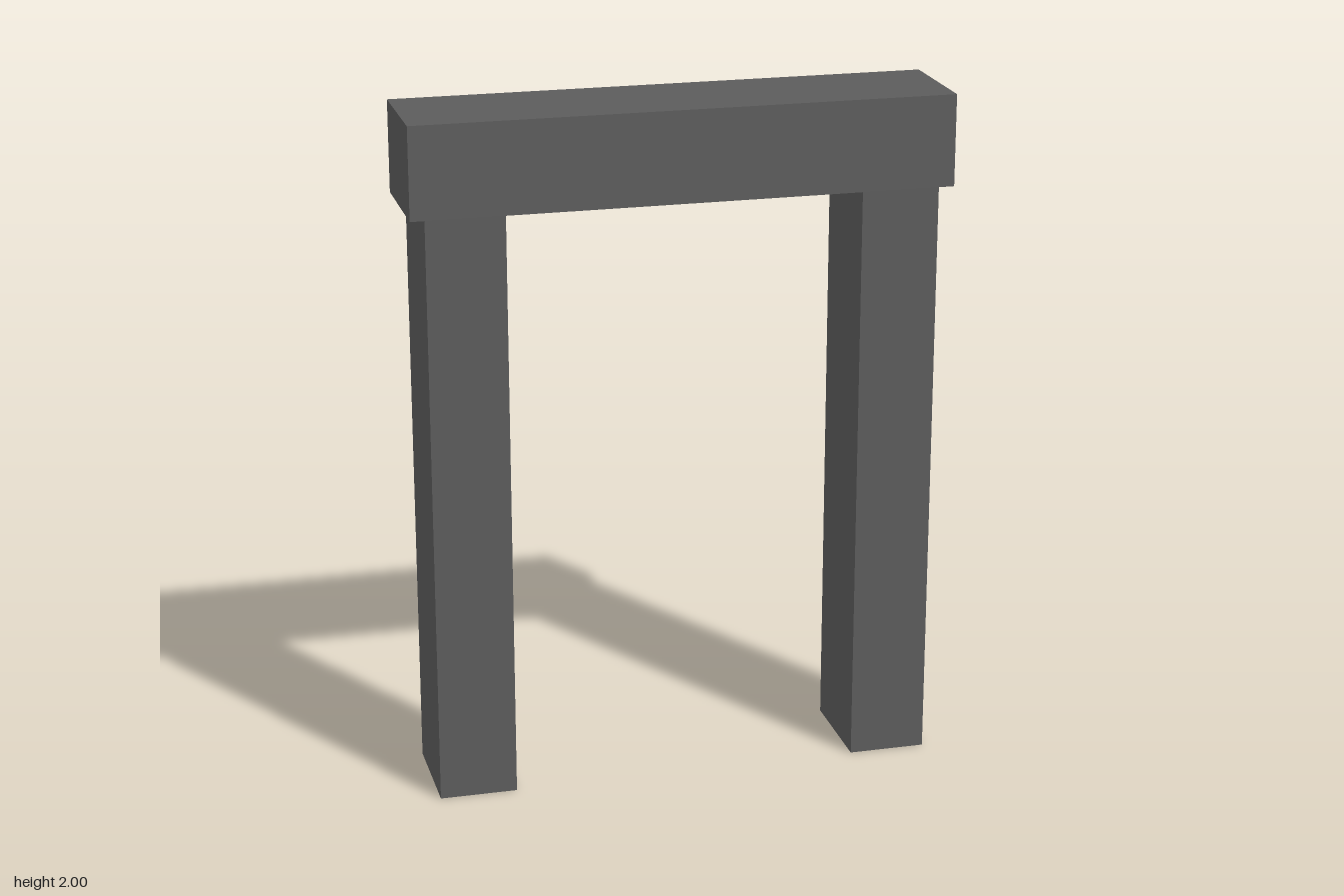
import * as THREE from 'three';

const LINTEL_BOTTOM = 1.735;

export function createModel() {
  const group = new THREE.Group();
  group.name = 'stoneGateway';
  const stone = new THREE.MeshStandardMaterial({ color: 0x5c5c5c });
  stone.name = 'dark grey stone';

  // Box standing on a given base height
  function block(name, width, height, depth, x, base) {
    const mesh = new THREE.Mesh(new THREE.BoxGeometry(width, height, depth), stone);
    mesh.name = name;
    mesh.position.set(x, base + height / 2, 0);
    group.add(mesh);
  }

  // Two upright posts, mirrored
  for (const side of [-1, 1]) {
    block(side > 0 ? 'leftPost' : 'rightPost', 0.225, LINTEL_BOTTOM, 0.312, side * 0.623, 0);
  }

  // Lintel, slightly overhanging the posts on every side
  block('lintel', 1.555, 2 - LINTEL_BOTTOM, 0.332, 0, LINTEL_BOTTOM);

  return group;
}
